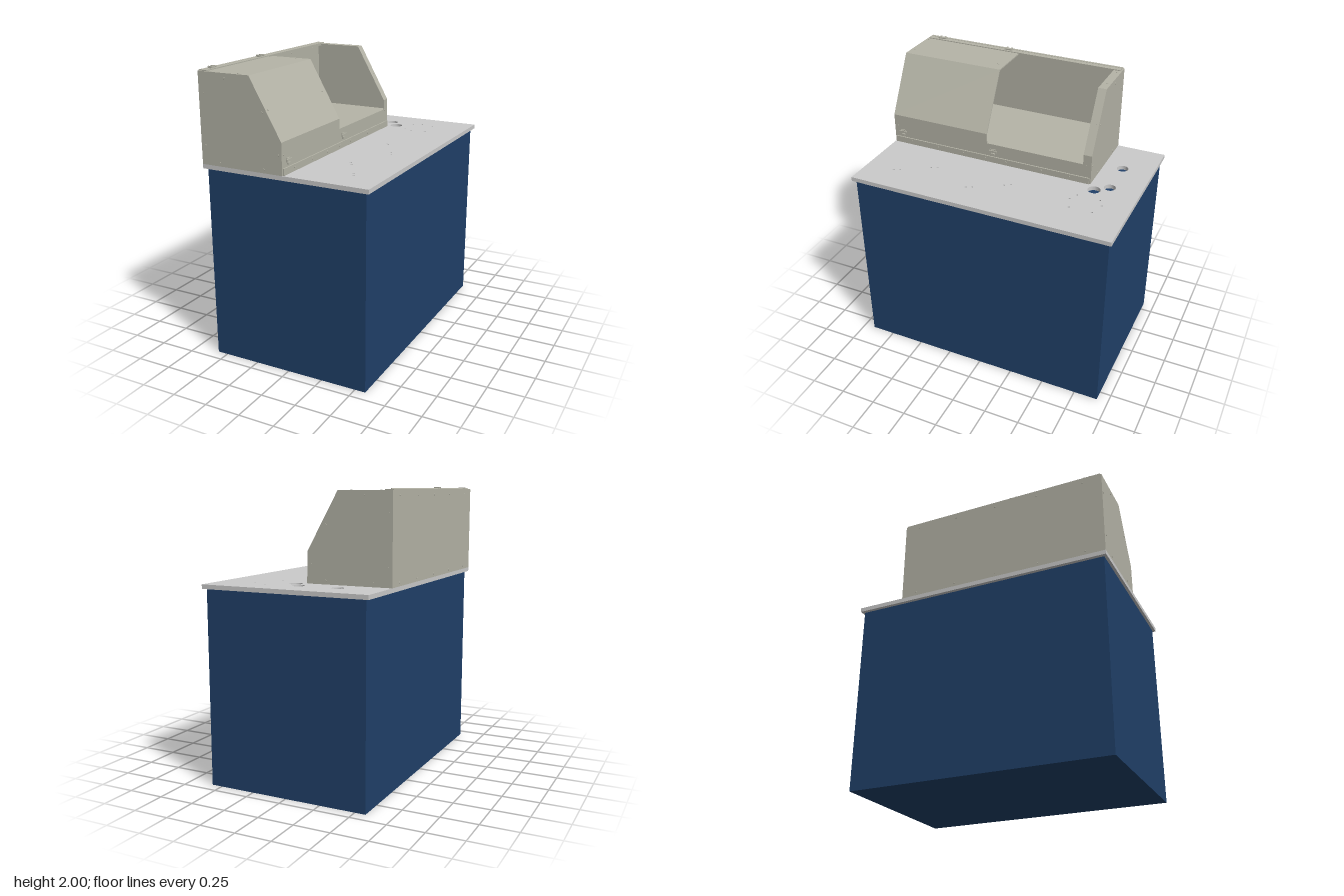
import * as THREE from 'three';

const steel = new THREE.MeshStandardMaterial({ color: 0xb5b4a7 });
const blue = new THREE.MeshStandardMaterial({ color: 0x204069 });
const grey = new THREE.MeshStandardMaterial({ color: 0xcccccc });

export function createModel() {
  const root = new THREE.Group();

  function add(name, geometry, material, parent = root) {
    const mesh = new THREE.Mesh(geometry, material);
    mesh.name = name;
    parent.add(mesh);
    return mesh;
  }

  // Box given by its limits on each axis
  function box(name, [x0, x1], [y0, y1], [z0, z1], material, parent) {
    const mesh = add(name, new THREE.BoxGeometry(x1 - x0, y1 - y0, z1 - z0), material, parent);
    mesh.position.set((x0 + x1) / 2, (y0 + y1) / 2, (z0 + z1) / 2);
    return mesh;
  }

  // An x-y outline extruded from z0 to z1
  function prism(name, points, z0, z1, parent) {
    const shape = new THREE.Shape(points.map(([x, y]) => new THREE.Vector2(x, y)));
    const geometry = new THREE.ExtrudeGeometry(shape, { depth: z1 - z0, bevelEnabled: false });
    geometry.translate(0, 0, z0);
    return add(name, geometry, steel, parent);
  }

  // Base cabinet
  box('baseCabinet', [-0.575, 0.575], [0, 1.345], [-0.92, 0.92], blue);

  // Table top with cable holes and screw holes
  const top = new THREE.Shape([[-0.6, -0.94], [0.6, -0.94], [0.6, 0.94], [-0.6, 0.94]]
    .map(([x, y]) => new THREE.Vector2(x, y)));
  const drill = (x, z, r) => {
    const hole = new THREE.Path();
    hole.absarc(x, -z, r, 0, Math.PI * 2, true);
    top.holes.push(hole);
  };
  [[-0.285, -0.725, 0.04], [-0.005, -0.725, 0.04], [0.065, -0.637, 0.045]].forEach(h => drill(...h));
  [[0.235, -0.75], [0.175, -0.717], [0.335, -0.717], [0.175, -0.557], [0.335, -0.557], [0.235, -0.525],
    [0.235, -0.1], [0.26, -0.06], [0.37, 0.125], [0.39, 0.165],
    [0.235, 0.465], [0.26, 0.505], [0.37, 0.69], [0.39, 0.73]].forEach(([x, z]) => drill(x, z, 0.007));
  const topGeometry = new THREE.ExtrudeGeometry(top, { depth: 0.03, bevelEnabled: false, curveSegments: 16 });
  topGeometry.rotateX(-Math.PI / 2).translate(0, 1.345, 0);
  add('tableTop', topGeometry, grey);

  // Sheet metal enclosure
  const housing = new THREE.Group();
  housing.name = 'enclosure';
  root.add(housing);
  const back = -0.59, front = 0.94, t = 0.008;
  const endOutline = [[-0.6, 1.375], [0.003, 1.375], [0.003, 1.585], [-0.22, 1.98], [-0.6, 1.98]];
  prism('frontEndPanel', endOutline, front - t, front, housing);
  prism('backEndPanel', endOutline, back, back + t, housing);
  box('rearWall', [-0.6, -0.6 + t], [1.375, 1.98], [back, front], steel, housing);
  box('frontWall', [-0.003, 0.005], [1.375, 1.515], [back, front], steel, housing);
  box('frontWallFoot', [0.005, 0.014], [1.375, 1.42], [back + 0.01, front - 0.01], steel, housing);
  box('floor', [-0.592, -0.003], [1.495, 1.512], [back + t, front - t], steel, housing);

  // Bent sheet: hood over the front part, narrow flange at the back end
  const sheet = [[0.005, 1.515], [0.005, 1.587], [-0.218, 1.982], [-0.6, 1.982],
    [-0.6, 1.974], [-0.223, 1.974], [-0.003, 1.585], [-0.003, 1.515]];
  prism('hood', sheet, 0.19, front, housing);
  prism('backFlange', sheet, back, -0.53, housing);

  // Hinge rail along the rear top edge
  box('hingeRail', [-0.6, -0.54], [1.97, 1.988], [back + 0.01, front - 0.01], steel, housing);
  const barrel = new THREE.CylinderGeometry(0.005, 0.005, front - back - 0.03, 10).rotateX(Math.PI / 2);
  add('hingeBarrel', barrel, steel, housing).position.set(-0.582, 1.988, (front + back) / 2);

  // Toggle clasps on the rail
  for (const z of [0.28, 0.83]) {
    box('railClasp', [-0.583, -0.556], [1.988, 1.996], [z - 0.03, z + 0.03], steel, housing);
    for (const dz of [-0.018, 0.018]) {
      box('railClaspLug', [-0.588, -0.55], [1.99, 2], [z + dz - 0.006, z + dz + 0.006], steel, housing);
    }
  }

  // Latches on the front wall
  for (const z of [0.14, 0.87]) {
    box('latchPlate', [0.005, 0.012], [1.452, 1.478], [z - 0.02, z + 0.02], steel, housing);
    box('latchLever', [0.012, 0.02], [1.458, 1.472], [z - 0.03, z + 0.03], steel, housing);
    box('latchKeeper', [0.005, 0.018], [1.435, 1.449], [z - 0.012, z + 0.012], steel, housing);
  }

  // Rivets, each turned to stand out along its panel's normal
  const rivetGeometry = new THREE.CylinderGeometry(0.006, 0.007, 0.006, 10);
  const up = new THREE.Vector3(0, 1, 0);
  const rivet = (x, y, z, nx, ny, nz) => {
    const mesh = add('rivet', rivetGeometry, steel, housing);
    mesh.position.set(x, y, z);
    mesh.quaternion.setFromUnitVectors(up, new THREE.Vector3(nx, ny, nz).normalize());
  };
  for (const [x, y] of [[-0.57, 1.845], [-0.4, 1.95], [-0.13, 1.762], [-0.023, 1.505],
    [-0.57, 1.505], [-0.465, 1.4], [-0.13, 1.4]]) {
    rivet(x, y, front, 0, 0, 1);
    rivet(x, y, back, 0, 0, -1);
  }
  for (const z of [-0.565, 0.24, 0.915]) {
    rivet(-0.51, 1.982, z, 0, 1, 0);
    rivet(-0.305, 1.982, z, 0, 1, 0);
    rivet(-0.103, 1.778, z, 0.395, 0.223, 0);
  }
  for (const z of [-0.55, 0.915]) rivet(0.005, 1.505, z, 1, 0, 0);
  for (const z of [-0.44, -0.23, 0.04, 0.2, 0.38, 0.58, 0.8]) rivet(0.014, 1.4, z, 1, 0, 0);
  for (const z of [-0.48, -0.17, 0.14, 0.46, 0.8]) {
    rivet(-0.6, 1.95, z, -1, 0, 0);
    rivet(-0.6, 1.4, z, -1, 0, 0);
    rivet(-0.592, 1.95, z, 1, 0, 0);
  }
  return root;
}
